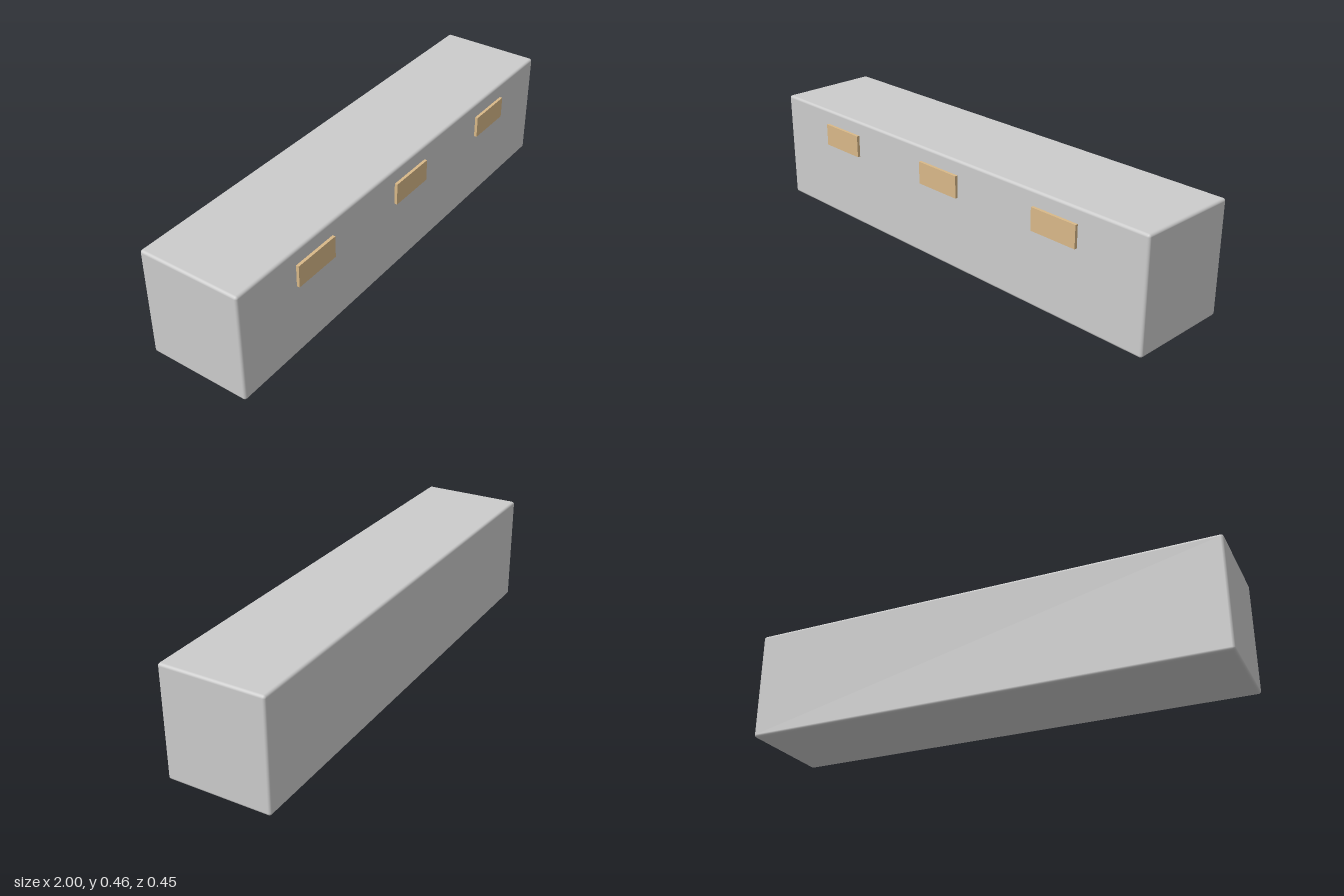
import * as THREE from 'three';
import { RoundedBoxGeometry } from 'three/addons/geometries/RoundedBoxGeometry.js';

export function createModel() {
  const model = new THREE.Group();
  model.name = 'longBox';
  const grey = new THREE.MeshStandardMaterial({ color: 0xcccccc });
  const tan = new THREE.MeshStandardMaterial({ color: 0xd8b888 });

  // Long body with slightly rounded edges
  const body = new THREE.Mesh(new RoundedBoxGeometry(2, 0.463, 0.431, 3, 0.011), grey);
  body.name = 'body';
  body.position.set(0, 0.2315, -0.0085);
  model.add(body);

  // Three thin plates floating just off the upper front face
  const plateGeometry = new THREE.BoxGeometry(0.208, 0.092, 0.012);
  ['right', 'middle', 'left'].forEach((side, i) => {
    const plate = new THREE.Mesh(plateGeometry, tan);
    plate.name = `${side}FrontPlate`;
    plate.position.set((i - 1) * 0.6, 0.359, 0.218);
    model.add(plate);
  });

  return model;
}
